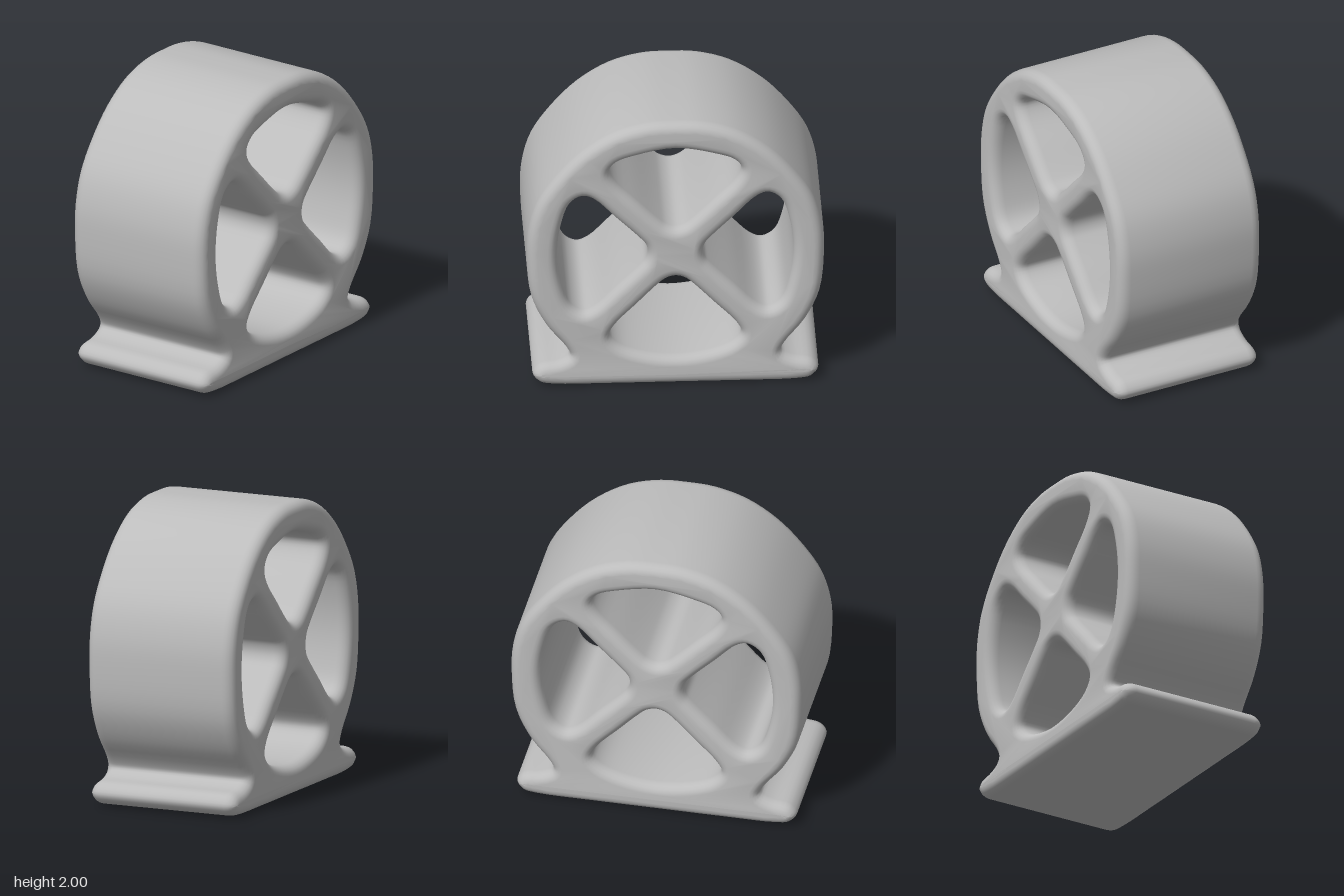
import * as THREE from 'three';
import { mergeVertices, toCreasedNormals } from 'three/addons/utils/BufferGeometryUtils.js';

// Closed smooth outline through the points
function smoothLoop(points) {
  const curve = new THREE.CatmullRomCurve3(
    points.map(([x, y]) => new THREE.Vector3(x, y, 0)), true, 'centripetal');
  return curve.getPoints(points.length * 4).slice(0, -1).map(p => new THREE.Vector2(p.x, p.y));
}

// Complete a half outline; its first and last points lie on the mirror line
function mirrorX(half) {
  return [...half, ...half.slice(1, -1).reverse().map(([x, y]) => [-x, y])];
}
function mirrorY(half, mid) {
  return [...half, ...half.slice(1, -1).reverse().map(([x, y]) => [x, 2 * mid - y])];
}

export function createModel() {
  const group = new THREE.Group();
  group.name = 'spokedWheelStand';
  const grey = new THREE.MeshStandardMaterial({ color: 0xbcbcbc });
  grey.name = 'grey';

  // Outer outline: flat foot, narrow neck, round rim
  const outline = mirrorX([
    [0, 0], [0.45, 0], [0.82, 0.005], [0.915, 0.025], [0.962, 0.09], [0.915, 0.155],
    [0.785, 0.182], [0.712, 0.225], [0.735, 0.285], [0.87, 0.46], [0.97, 0.68],
    [1, 0.98], [0.99, 1.19], [0.93, 1.4], [0.8, 1.6], [0.625, 1.786],
    [0.41, 1.925], [0.19, 1.99], [0, 2],
  ]);

  // Four openings that leave the crossed spokes
  const topHole = mirrorX([
    [0, 1.19], [0.06, 1.207], [0.115, 1.25], [0.26, 1.395], [0.41, 1.55],
    [0.444, 1.635], [0.395, 1.7], [0.26, 1.75], [0, 1.797],
  ]);
  const bottomHole = mirrorX([
    [0, 0.207], [0.24, 0.24], [0.385, 0.3], [0.442, 0.37], [0.41, 0.445],
    [0.26, 0.605], [0.115, 0.755], [0.06, 0.8], [0, 0.817],
  ]);
  const leftHole = mirrorY([
    [0.795, 1], [0.77, 1.22], [0.71, 1.39], [0.625, 1.445], [0.55, 1.418],
    [0.4, 1.27], [0.24, 1.11], [0.2, 1.06], [0.186, 1],
  ], 1.003);
  const rightHole = leftHole.map(([x, y]) => [-x, y]);

  const shape = new THREE.Shape(smoothLoop(outline));
  for (const hole of [topHole, bottomHole, leftHole, rightHole])
    shape.holes.push(new THREE.Path(smoothLoop(hole)));

  // Full-depth body with softly rounded edges
  const halfDepth = 0.545, round = 0.08;
  let body = new THREE.ExtrudeGeometry(shape, {
    depth: 2 * (halfDepth - round), bevelEnabled: true, bevelThickness: round,
    bevelSize: 0.068, bevelOffset: -0.068, bevelSegments: 5,
  });
  body.translate(0, 0, -(halfDepth - round));
  body.deleteAttribute('uv');
  body.deleteAttribute('normal');
  body = toCreasedNormals(mergeVertices(body, 1e-4), 0.8);

  const mesh = new THREE.Mesh(body, grey);
  mesh.name = 'wheelWithSpokesAndFoot';
  group.add(mesh);
  return group;
}
